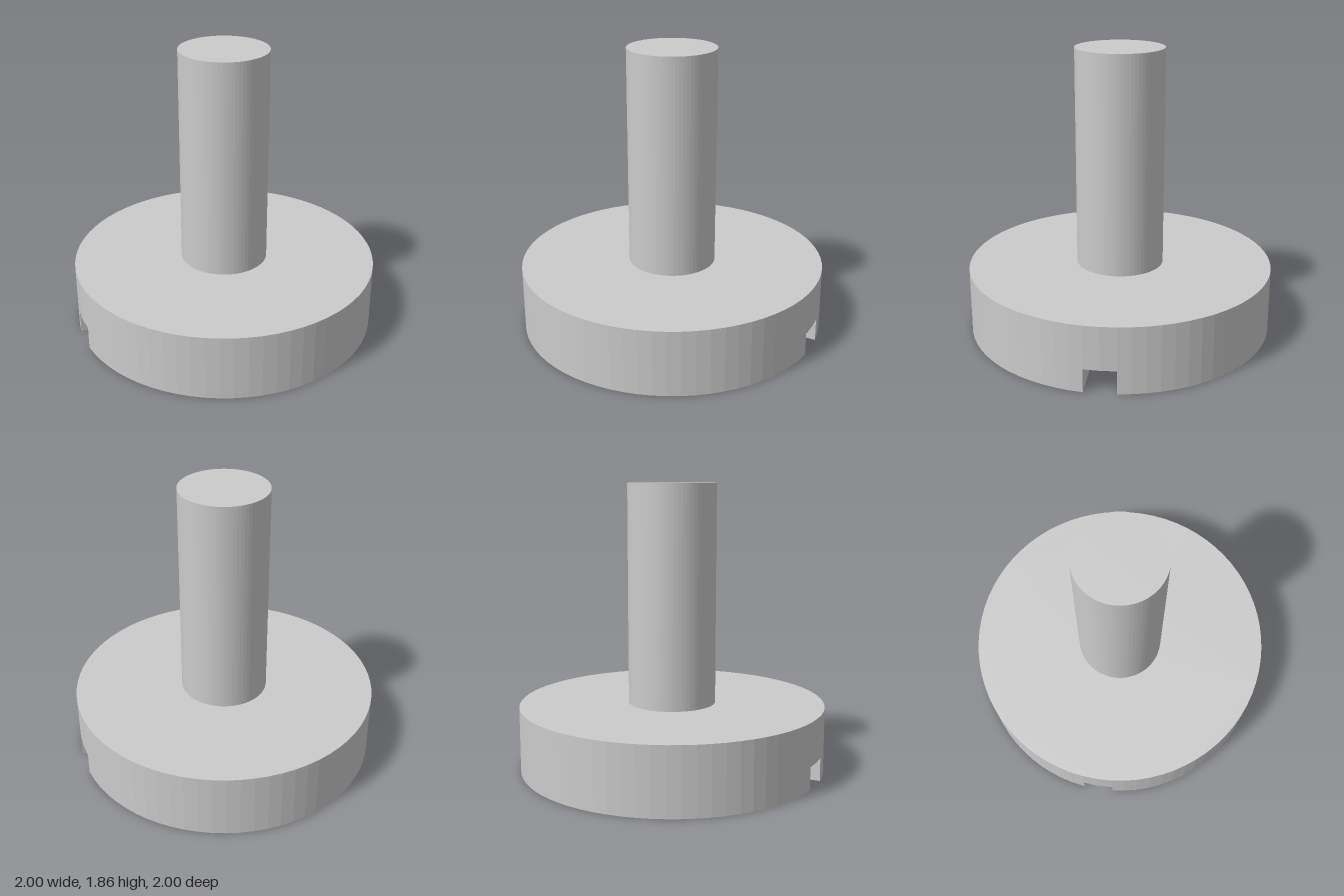
import * as THREE from 'three';
import { mergeGeometries } from 'three/addons/utils/BufferGeometryUtils.js';

const HEAD_R = 1, HEAD_TOP = 0.43, SHAFT_R = 0.286, SHAFT_TOP = 1.86;
const SLOT_HALF = 0.1, SLOT_TOP = 0.15;

// Points on a circle, counter-clockwise seen from above (plan y is -z)
function arc(r, from, to, n) {
  return Array.from({ length: n + 1 }, (_, i) => {
    const a = from + (to - from) * i / n;
    return new THREE.Vector2(r * Math.cos(a), r * Math.sin(a));
  });
}

// Upright wall around a closed outline, facing outwards
function wall(outline, y0, y1) {
  const pos = [];
  outline.forEach((p, i) => {
    const q = outline[(i + 1) % outline.length];
    pos.push(p.x, y0, -p.y, q.x, y0, -q.y, q.x, y1, -q.y);
    pos.push(p.x, y0, -p.y, q.x, y1, -q.y, p.x, y1, -p.y);
  });
  const g = new THREE.BufferGeometry();
  g.setAttribute('position', new THREE.Float32BufferAttribute(pos, 3));
  g.computeVertexNormals();
  return g;
}

// Level face filling an outline, facing up or down
function cap(outline, y, up, hole) {
  const shape = new THREE.Shape(outline);
  if (hole) shape.holes.push(new THREE.Path(hole));
  const g = new THREE.ShapeGeometry(shape);
  if (!up) g.index.array.reverse();
  g.rotateX(-Math.PI / 2).translate(0, y, 0);
  const flat = g.toNonIndexed();
  flat.deleteAttribute('uv');
  flat.computeVertexNormals();
  return flat;
}

export function createModel() {
  const group = new THREE.Group();
  const material = new THREE.MeshStandardMaterial({ color: 0xcccccc, flatShading: true });
  const add = (name, parts) => {
    const mesh = new THREE.Mesh(mergeGeometries(parts), material);
    mesh.name = name;
    group.add(mesh);
  };

  // Plan outlines: the two halves beside the slot, and the slot itself
  const s = Math.asin(SLOT_HALF / HEAD_R);
  const backHalf = arc(HEAD_R, s, Math.PI - s, 34);
  const frontHalf = arc(HEAD_R, Math.PI + s, 2 * Math.PI - s, 34);
  const leftEnd = arc(HEAD_R, -s, s, 2);
  const rightEnd = arc(HEAD_R, Math.PI - s, Math.PI + s, 2);
  const rim = [...leftEnd, ...backHalf.slice(1), ...rightEnd.slice(1), ...frontHalf.slice(1, -1)];
  const shaftRim = arc(SHAFT_R, 0, 2 * Math.PI, 72).slice(0, -1);

  // Round head with a slot across its underside
  add('slottedHead', [
    wall(rim, SLOT_TOP, HEAD_TOP),
    cap(rim, HEAD_TOP, true, shaftRim),
    cap([...leftEnd, ...rightEnd], SLOT_TOP, false),
    ...[backHalf, frontHalf].flatMap(h => [wall(h, 0, SLOT_TOP), cap(h, 0, false)]),
  ]);

  // Plain shaft
  add('shaft', [wall(shaftRim, HEAD_TOP, SHAFT_TOP), cap(shaftRim, SHAFT_TOP, true)]);

  return group;
}
